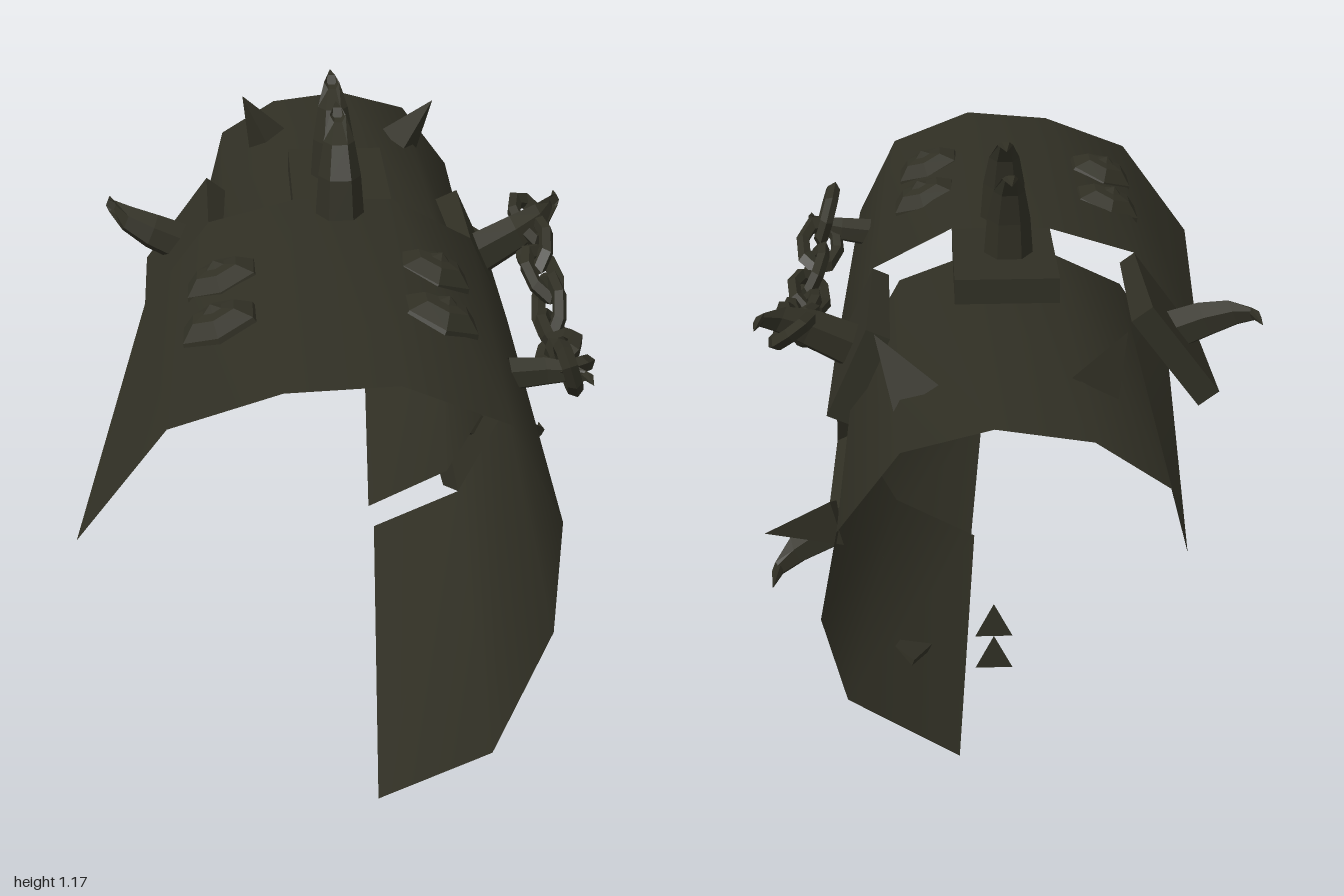
import * as THREE from 'three';

const V = (x, y, z) => new THREE.Vector3(x, y, z);
const darkIron = new THREE.MeshStandardMaterial({ color: 0x302f24, side: THREE.DoubleSide });
darkIron.name = 'darkIron';

// Skin joining rows of points; flat gives hard facets, closed joins each row to its start
function loft(rows, { flat = false, closed = false } = {}) {
  const n = rows[0].length, index = [];
  for (let r = 0; r < rows.length - 1; r++) {
    for (let i = 0; i < (closed ? n : n - 1); i++) {
      const a = r * n + i, b = r * n + (i + 1) % n;
      index.push(a, b, a + n, b, b + n, a + n);
    }
  }
  let geo = new THREE.BufferGeometry().setFromPoints(rows.flat());
  geo.setIndex(index);
  if (flat) geo = geo.toNonIndexed();
  geo.computeVertexNormals();
  return geo;
}

export function createModel() {
  const group = new THREE.Group();
  const add = (name, geo) => {
    const mesh = new THREE.Mesh(geo, darkIron);
    mesh.name = name;
    group.add(mesh);
    return mesh;
  };
  // Points a cone or dome (built along +y) along a direction
  const aim = (mesh, pos, dir) => {
    mesh.position.copy(pos);
    mesh.quaternion.setFromUnitVectors(V(0, 1, 0), dir.clone().normalize());
  };

  // Open cross-sections, from the left edge over the top to the lower right edge
  const frontEnd = [[-.545, .595], [-.37, .83], [-.16, .905], [.05, .92], [.25, .84], [.35, .64], [.345, .4], [.24, .12], [.02, 0]];
  const frontBack = [[-.45, .7], [-.3, .9], [-.11, .955], [.11, .955], [.29, .86], [.38, .66], [.385, .43], [.28, .21], [.08, .11]];
  const rearFront = [[-.385, .645], [-.27, .82], [-.12, .89], [.06, .895], [.23, .83], [.335, .64], [.335, .43], [.25, .27], [.065, .175]];
  const rearEnd = [[-.3, .71], [-.27, .83], [-.13, .92], [.05, .945], [.22, .9], [.34, .74], [.375, .56], [.33, .39], [.12, .27]];
  const row = (profile, zTop, zEdge) => profile.map(([x, y], i) =>
    V(x, y, THREE.MathUtils.lerp(zTop, zEdge, ((i - 4) / 4) ** 2)));

  // Curved plates
  const backRow = row(frontBack, .03, -.02);
  add('frontPlate', loft([row(frontEnd, 1, .93), backRow]));
  add('rearPlate', loft([row(rearFront, .03, 0), row(rearEnd, -.95, -1)]));

  // Raised flaps running back from the front plate, with side and end walls
  for (const i of [0, 2, 4, 6]) {
    const a = backRow[i], b = backRow[i + 1];
    const out = V(-(b.y - a.y), b.x - a.x, 0).normalize();
    const lift = i === 2 ? .018 : .008;
    const end = [a, b].map(p => p.clone().addScaledVector(out, lift).setZ(-.32));
    const inner = (p, d) => p.clone().addScaledVector(out, -d);
    add('flap', loft([
      [inner(a, .04), a, b, inner(b, .04)],
      [inner(end[0], .055), end[0], end[1], inner(end[1], .055)],
    ], { flat: true }));
    add('flapEnd', loft([
      [end[0], end[1]], [inner(end[0], .055), inner(end[1], .055)],
    ], { flat: true }));
  }

  // Hooked claws: [distance out, distance back, size] along the curve
  const hookPath = [[-.03, 0, 1], [.08, .01, .85], [.15, .035, .62], [.195, .085, .32], [.205, .16, .02]];
  function hook(name, base, outX, outY, size = 1, back = -1) {
    const out = V(outX, outY, 0).normalize(), side = V(-out.y, out.x, 0);
    const rows = hookPath.map(([d, bend, s], k) => {
      const lean = k > 2 ? .045 * s : 0;
      return Array.from({ length: 6 }, (_, j) => {
        const t = j / 6 * Math.PI * 2;
        return base.clone()
          .addScaledVector(out, d * size + Math.sin(t) * lean)
          .addScaledVector(side, Math.cos(t) * .055 * s * size)
          .add(V(0, 0, (bend + Math.sin(t) * .06 * s) * back * size));
      });
    });
    add(name, loft(rows, { flat: true, closed: true }));
  }
  hook('topHook', V(-.01, .955, .11), 0, 1);
  hook('topHook', V(-.01, .965, -.14), 0, 1);
  hook('leftHook', V(-.37, .79, -.18), -.9, .38, .9);
  hook('lowerRightHook', V(.34, .33, -.16), .9, -.45, 1);
  hook('chainHook', V(.36, .77, -.16), .85, .45, .95);
  hook('frontChainHook', V(.33, .75, .55), .95, .1, .65, 1);

  // Domed rivets with six sides and a small point
  const dome = new THREE.LatheGeometry(
    [[.095, -.02], [.085, .02], [.05, .045], [.022, .05], [0, .062]].map(p => new THREE.Vector2(...p)), 6).toNonIndexed();
  dome.computeVertexNormals();
  for (const [x, y, z, nx] of [[-.265, .875, .35, -.36], [-.27, .87, .59, -.36], [.165, .89, .37, .37], [.155, .885, .61, .37]]) {
    aim(add('rivet', dome), V(x, y, z), V(nx, .93, 0));
  }

  // Three-sided spikes on the rear plate: base and tip
  const spikes = [
    [V(-.155, .9, -.66), V(-.215, 1.01, -.68)],
    [V(.19, .88, -.67), V(.27, 1, -.65)],
    [V(.355, .61, -.66), V(.5, .575, -.665)],
    [V(.215, .315, -.69), V(.245, .185, -.71)],
  ];
  for (const [base, tip] of spikes) {
    const dir = tip.clone().sub(base), h = dir.length();
    const cone = new THREE.ConeGeometry(.06, h, 3).toNonIndexed();
    cone.computeVertexNormals();
    aim(add('spike', cone.translate(0, h / 2, 0)), base, dir);
  }

  // Two small loose triangles at the rear opening
  for (const y of [.45, .52]) {
    const tri = new THREE.Shape([[.018, y], [.088, y], [.053, y + .07]].map(p => new THREE.Vector2(...p)));
    add('rearTriangle', new THREE.ShapeGeometry(tri).translate(0, 0, -.97));
  }

  // Sagging chain with alternately turned links
  const path = new THREE.CatmullRomCurve3([
    V(.42, .78, .6), V(.44, .72, .46), V(.455, .69, .28), V(.465, .69, .14), V(.465, .75, 0), V(.46, .79, -.12), V(.46, .82, -.22),
  ]);
  const link = new THREE.TorusGeometry(.045, .017, 5, 8).scale(1.75, 1, 1).toNonIndexed();
  link.computeVertexNormals();
  const count = 9;
  for (let i = 0; i < count; i++) {
    const t = i / (count - 1), mesh = add('chainLink', link);
    mesh.position.copy(path.getPointAt(t));
    mesh.quaternion.setFromUnitVectors(V(1, 0, 0), path.getTangentAt(t));
    mesh.rotateX(i % 2 ? Math.PI * .28 : -Math.PI * .22);
  }
  return group;
}
